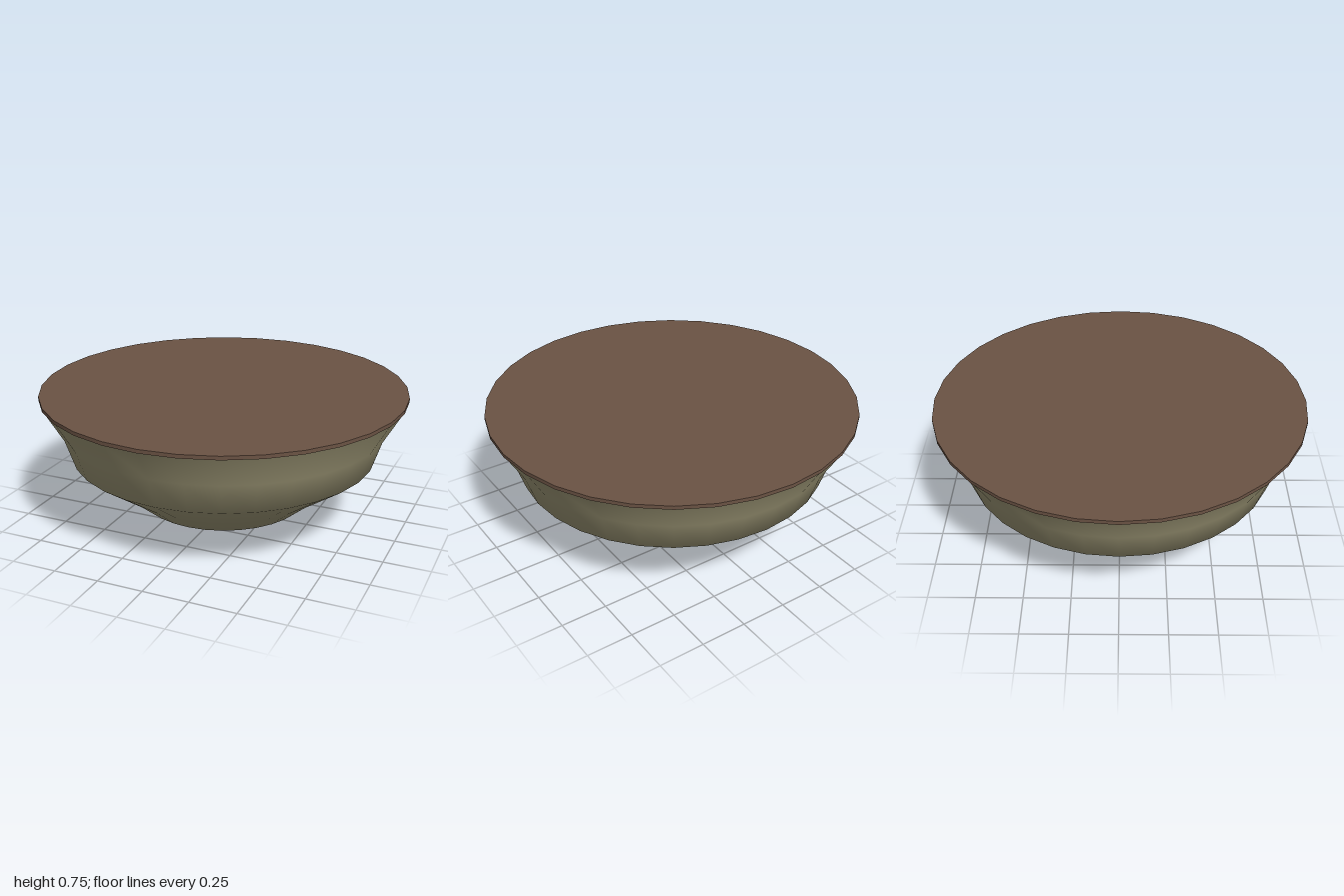
import * as THREE from 'three';

const SIDES = 32;

export function createModel() {
  const group = new THREE.Group();

  // Stepped bowl body, turned from the bottom tip up to the rim
  const profile = [
    [0, 0], [0.16, 0.02], [0.32, 0.07], [0.47, 0.1], [0.6, 0.21],
    [0.84, 0.38], [0.895, 0.55], [0.995, 0.725],
  ].map(([r, y]) => new THREE.Vector2(r, y));
  const bowl = new THREE.Mesh(
    new THREE.LatheGeometry(profile, SIDES),
    new THREE.MeshStandardMaterial({ color: 0xa8a17e, side: THREE.DoubleSide }),
  );
  bowl.name = 'bowl';
  group.add(bowl);

  // Thin flat disc closing the top
  const lid = new THREE.Mesh(
    new THREE.CylinderGeometry(1, 1, 0.02, SIDES),
    new THREE.MeshStandardMaterial({ color: 0x6b5344 }),
  );
  lid.name = 'topDisc';
  lid.position.y = 0.735;
  group.add(lid);

  return group;
}
